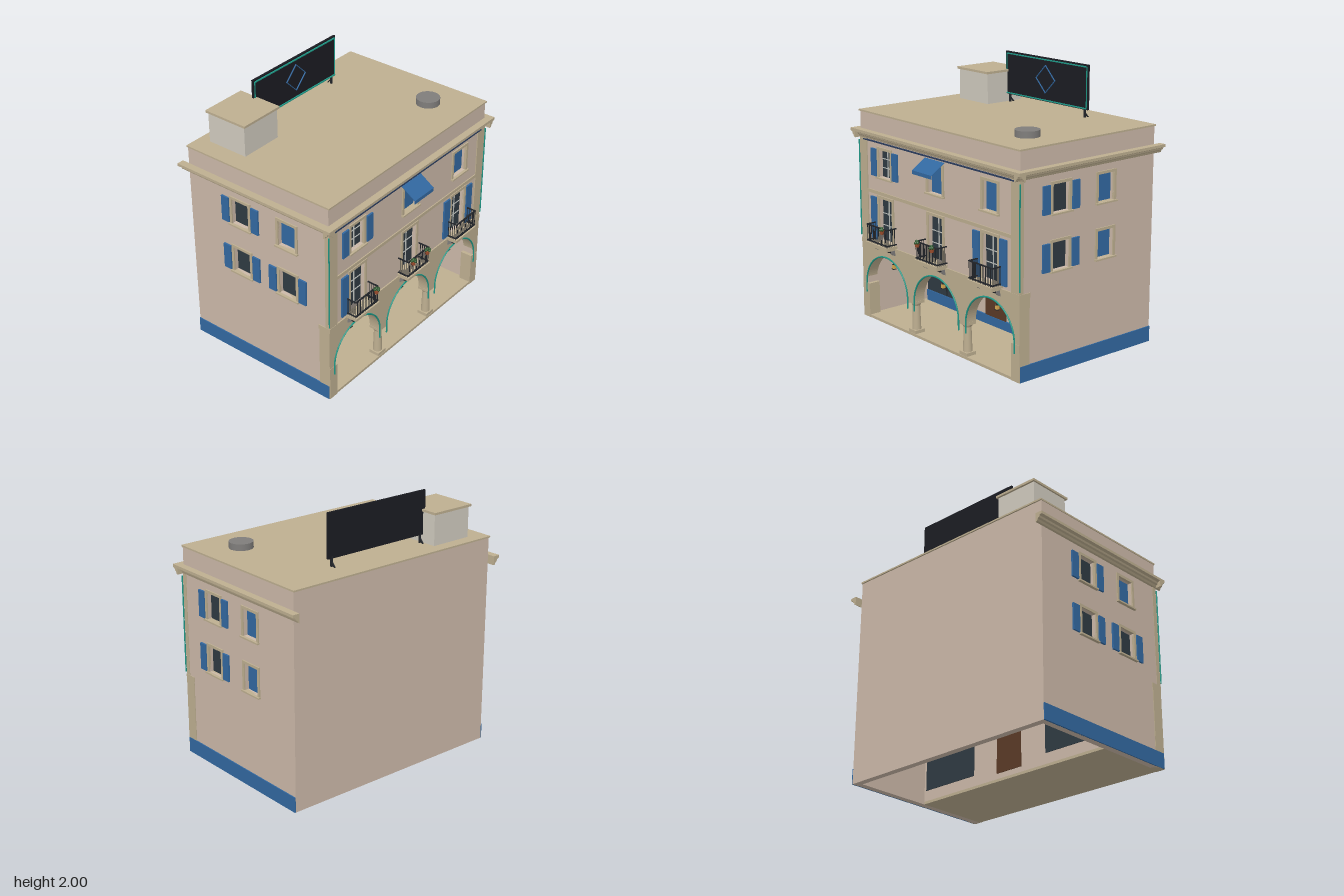
import * as THREE from 'three';

const mat = (color) => new THREE.MeshStandardMaterial({ color, roughness: 0.9 });
const M = {
  wall: mat(0xcbb8a8), tan: mat(0xbdae90), blue: mat(0x3268a0), glass: mat(0x2f3a42), bar: mat(0xb9bcb8),
  iron: mat(0x22252a), brown: mat(0x5a3a26), teal: mat(0x1f9a88), navy: mat(0x2b3c5c), gray: mat(0x7f7d7b),
  pale: mat(0xcfcabe), black: mat(0x1b1c22), gold: mat(0xd8a850), pot: mat(0xa5512f), leaf: mat(0x2f5a30),
};

function add(parent, name, geo, material, x = 0, y = 0, z = 0) {
  const m = new THREE.Mesh(geo, material);
  m.name = name;
  m.position.set(x, y, z);
  parent.add(m);
  return m;
}
// Box given by its limits on each axis
function box(parent, name, material, x0, x1, y0, y1, z0, z1) {
  return add(parent, name, new THREE.BoxGeometry(x1 - x0, y1 - y0, z1 - z0), material,
    (x0 + x1) / 2, (y0 + y1) / 2, (z0 + z1) / 2);
}
function cyl(parent, name, material, r0, r1, y0, y1, x, z, n = 12) {
  return add(parent, name, new THREE.CylinderGeometry(r1, r0, y1 - y0, n), material, x, (y0 + y1) / 2, z);
}
function group(parent, name, x = 0, y = 0, z = 0) {
  const g = new THREE.Group();
  g.name = name;
  g.position.set(x, y, z);
  parent.add(g);
  return g;
}
const polygon = (pts) => new THREE.Shape(pts.map(([x, y]) => new THREE.Vector2(x, y)));
const rect = (x0, x1, y0, y1) => polygon([[x0, y0], [x1, y0], [x1, y1], [x0, y1]]);
const extrude = (shape, depth) =>
  new THREE.ExtrudeGeometry(shape, { depth, bevelEnabled: false, curveSegments: 24 });

const T = 0.05; // wall thickness

// Window in wall space: outer wall surface is z = 0
function addWindow(parent, { u, w, y0, y1, closed, shutters = [], bars, sw = 0.065 }) {
  const g = group(parent, 'window', u), h = w / 2, f = 0.02;
  box(g, closed ? 'closedShutter' : 'glass', closed ? M.blue : M.glass, -h, h, y0, y1, -0.042, -0.03);
  for (const s of [-1, 1]) {
    const x = s * (h + f / 2);
    box(g, 'frameSide', M.tan, x - f / 2, x + f / 2, y0, y1, -0.01, 0.01);
  }
  box(g, 'frameTop', M.tan, -h - f, h + f, y1, y1 + f, -0.01, 0.01);
  box(g, 'sill', M.tan, -h - f - 0.005, h + f + 0.005, y0 - 0.012, y0, -0.03, 0.022);
  if (bars) {
    box(g, 'mullion', M.bar, -0.004, 0.004, y0, y1, -0.03, -0.024);
    for (const t of bars) {
      const y = y0 + t * (y1 - y0);
      box(g, 'glazingBar', M.bar, -h, h, y - 0.003, y + 0.003, -0.03, -0.025);
    }
  }
  for (const s of shutters) {
    const x = s * (h + f + 0.007 + sw / 2);
    box(g, 'shutter', M.blue, x - sw / 2, x + sw / 2, y0, y1, 0, 0.014);
  }
}

// Wall with cut window openings
function facade(parent, name, u0, u1, y0, y1, windows) {
  const g = group(parent, name), s = rect(u0, u1, y0, y1);
  for (const o of windows) s.holes.push(rect(o.u - o.w / 2, o.u + o.w / 2, o.y0, o.y1));
  add(g, 'wall', extrude(s, T), M.wall, 0, 0, -T);
  windows.forEach((o) => addWindow(g, o));
  return g;
}

function addPlant(parent, x, y, z) {
  const g = group(parent, 'flowerPot', x, y, z);
  cyl(g, 'pot', M.pot, 0.013, 0.02, -0.02, 0.012, 0, 0, 10);
  [[0, 0.024, 0], [0.014, 0.016, 0.006], [-0.013, 0.018, -0.004], [0.002, 0.014, 0.014]].forEach(([a, b, c]) =>
    add(g, 'leaves', new THREE.IcosahedronGeometry(0.013, 0), M.leaf, a, b, c));
}

function addBalcony(parent, x) {
  const g = group(parent, 'balcony', x, 0, 0.59);
  box(g, 'slab', M.tan, -0.13, 0.13, 0.63, 0.648, 0, 0.1);
  box(g, 'slabMoulding', M.tan, -0.12, 0.12, 0.615, 0.63, 0, 0.09);
  box(g, 'bracketBeam', M.iron, -0.12, 0.12, 0.606, 0.615, 0.05, 0.07);
  const bracket = extrude(polygon([[0, 0.565], [0.02, 0.575], [0.07, 0.615], [0, 0.615]]), 0.016);
  for (const s of [-1, 1])
    add(g, 'bracket', bracket, M.gray, s * 0.105 + 0.008, 0, 0).rotation.y = -Math.PI / 2;
  for (const y of [0.66, 0.782]) {
    box(g, 'frontRail', M.iron, -0.126, 0.126, y - 0.004, y + 0.004, 0.082, 0.092);
    for (const s of [-1, 1]) box(g, 'sideRail', M.iron, s * 0.122 - 0.004, s * 0.122 + 0.004, y - 0.004, y + 0.004, 0, 0.09);
  }
  for (let i = 0; i <= 14; i++) cyl(g, 'baluster', M.iron, 0.0028, 0.0028, 0.648, 0.782, -0.122 + i * 0.01743, 0.087, 6);
  for (const s of [-1, 1]) for (let i = 1; i < 5; i++)
    cyl(g, 'sideBaluster', M.iron, 0.0028, 0.0028, 0.648, 0.782, s * 0.122, i * 0.0175, 6);
}

export function createModel() {
  const root = new THREE.Group();
  root.name = 'arcadedTownhouse';

  // Main walls
  const up = { y0: 1.138, y1: 1.345 }, mid = { y0: 0.65, y1: 0.975, w: 0.16, bars: [0.36, 0.64], sw: 0.07 };
  const front = facade(root, 'frontWall', -0.855, 0.855, 0.6, 1.605, [
    { u: -0.603, w: 0.14, ...up, shutters: [-1, 1], bars: [0.33, 0.66] },
    { u: 0, w: 0.16, ...up, closed: true },
    { u: 0.6, w: 0.155, ...up, closed: true },
    { u: -0.6, ...mid, shutters: [-1] }, { u: 0, ...mid }, { u: 0.6, ...mid, shutters: [-1, 1] },
  ]);
  front.position.z = 0.59;
  const hi = { w: 0.15, y0: 1.138, y1: 1.338 }, lo = { w: 0.15, y0: 0.735, y1: 0.935 };
  const open = { shutters: [-1, 1] }, shut = { closed: true };
  const sideL = facade(root, 'leftWall', -0.59, 0.66, 0, 1.605, [
    { u: -0.23, ...hi, ...open }, { u: 0.19, ...hi, ...shut },
    { u: -0.23, ...lo, ...open }, { u: 0.19, ...lo, ...shut }]);
  sideL.position.x = 0.905;
  sideL.rotation.y = Math.PI / 2;
  const sideR = facade(root, 'rightWall', -0.66, 0.59, 0, 1.605, [
    { u: -0.19, ...hi, ...open }, { u: 0.23, ...hi, ...shut },
    { u: -0.19, ...lo, ...open }, { u: 0.23, ...lo, ...open }]);
  sideR.position.x = -0.905;
  sideR.rotation.y = -Math.PI / 2;
  box(root, 'backWall', M.wall, -0.855, 0.855, 0, 1.605, -0.66, -0.61);
  box(root, 'ceiling', M.wall, -0.855, 0.855, 0.575, 0.6, -0.61, 0.56);
  box(root, 'roof', M.tan, -0.91, 0.91, 1.603, 1.615, -0.67, 0.6);

  // Cornice along front and sides
  const profile = polygon([[0, 1.405], [0.012, 1.41], [0.018, 1.425], [0.03, 1.432], [0.034, 1.445], [0.045, 1.45],
    [0.054, 1.453], [0.054, 1.473], [0, 1.473]]);
  const cornice = (len) => extrude(profile, len).translate(0, 0, -len / 2);
  add(root, 'frontCornice', cornice(1.918), M.tan, 0, 0, 0.59).rotation.y = -Math.PI / 2;
  add(root, 'leftCornice', cornice(1.364), M.tan, 0.905, 0, -0.038);
  add(root, 'rightCornice', cornice(1.364), M.tan, -0.905, 0, -0.038).rotation.y = Math.PI;

  // Pilasters, string courses, painted base and light tubes
  for (const s of [-1, 1]) {
    box(root, 'pilaster', M.tan, s * 0.865 - 0.043, s * 0.865 + 0.043, 0.62, 1.41, 0.56, 0.598);
    box(root, 'paintedBase', M.blue, s * 0.907 - 0.006, s * 0.907 + 0.006, 0, 0.115, -0.66, 0.592);
    cyl(root, 'cornerTube', M.teal, 0.005, 0.005, 0.645, 1.385, s * 0.913, 0.6, 8);
  }
  box(root, 'stringCourse', M.tan, -0.822, 0.822, 1.0, 1.025, 0.58, 0.598);
  box(root, 'lowerStringCourse', M.tan, -0.91, 0.91, 0.59, 0.625, 0.5, 0.6);
  box(root, 'corniceTube', M.navy, -0.86, 0.86, 1.393, 1.402, 0.59, 0.602);

  // Arcade front with three arches
  const R = 0.26, S = 0.27, arcade = new THREE.Shape();
  arcade.moveTo(-0.91, 0).lineTo(-0.86, 0);
  for (const x of [-0.6, 0, 0.6]) {
    arcade.lineTo(x - R, S);
    arcade.absarc(x, S, R, Math.PI, 0, true);
  }
  arcade.lineTo(0.86, 0).lineTo(0.91, 0).lineTo(0.91, 0.6).lineTo(-0.91, 0.6);
  add(root, 'arcade', extrude(arcade, 0.09), M.tan, 0, 0, 0.507);
  for (const x of [-0.6, 0, 0.6]) {
    const pts = [[x - R, 0.2]];
    for (let i = 0; i <= 24; i++) pts.push([x - R * Math.cos(i * Math.PI / 24), S + R * Math.sin(i * Math.PI / 24)]);
    pts.push([x + R, 0.2]);
    const path = new THREE.CatmullRomCurve3(pts.map(([a, b]) => new THREE.Vector3(a, b, 0.6)));
    add(root, 'archTube', new THREE.TubeGeometry(path, 64, 0.006, 6), M.teal);
  }
  for (const s of [-1, 1]) {
    box(root, 'endPier', M.tan, s * 0.868 - 0.04, s * 0.868 + 0.04, 0, S, 0.505, 0.599);
    box(root, 'columnBase', M.tan, s * 0.3 - 0.042, s * 0.3 + 0.042, 0.018, 0.045, 0.508, 0.592);
    cyl(root, 'column', M.tan, 0.034, 0.028, 0.045, 0.235, s * 0.3, 0.55, 16);
    cyl(root, 'capital', M.tan, 0.03, 0.04, 0.23, 0.25, s * 0.3, 0.55, 16);
    box(root, 'abacus', M.tan, s * 0.3 - 0.042, s * 0.3 + 0.042, 0.25, S, 0.506, 0.594);
  }
  box(root, 'arcadeFloor', M.tan, -0.857, 0.857, 0, 0.02, 0, 0.595);

  // Shop wall inside the arcade
  box(root, 'shopWall', M.wall, -0.855, 0.855, 0.02, 0.575, 0.0, 0.03);
  for (const s of [-1, 1]) {
    const c = s * 0.588, g = group(root, 'shopWindow', c);
    box(g, 'shopGlass', M.glass, -0.245, 0.245, 0.1, 0.472, -0.005, 0.037);
    box(g, 'shopMullion', M.iron, -0.004, 0.004, 0.1, 0.472, 0.03, 0.042);
    box(g, 'shopTransom', M.iron, -0.245, 0.245, 0.39, 0.397, 0.03, 0.042);
    box(g, 'shopBase', M.blue, -0.243, 0.243, 0.02, 0.105, 0.03, 0.047);
  }
  box(root, 'centreBase', M.blue, -0.26, 0.26, 0.02, 0.09, 0.03, 0.044);
  box(root, 'door', M.brown, -0.115, 0.115, 0.06, 0.43, -0.006, 0.04);
  box(root, 'doorLintel', M.brown, -0.08, 0.08, 0.468, 0.478, 0.03, 0.06);
  for (const x of [-0.6, 0, 0.6]) {
    const g = group(root, 'lantern', x, 0, 0.53);
    cyl(g, 'rod', M.iron, 0.003, 0.003, 0.465, 0.535, 0, 0, 6);
    cyl(g, 'lanternCap', M.iron, 0.018, 0.006, 0.463, 0.475, 0, 0, 4);
    box(g, 'lanternGlass', M.gold, -0.011, 0.011, 0.432, 0.463, -0.011, 0.011);
    box(g, 'lanternFoot', M.iron, -0.014, 0.014, 0.427, 0.432, -0.014, 0.014);
  }

  // Balconies, flower pots and awning
  for (const x of [-0.6, 0, 0.6]) addBalcony(root, x);
  for (const x of [-0.515, -0.085, 0.085]) addPlant(root, x, 0.77, 0.695);
  const canopy = extrude(polygon([[0, 1.385], [0.115, 1.31], [0.115, 1.283], [0.111, 1.283], [0.111, 1.307], [0, 1.379]]), 0.22);
  add(root, 'awning', canopy, M.blue, 0.11, 0, 0.595).rotation.y = -Math.PI / 2;

  // Roof house and tank
  box(root, 'roofHouse', M.pale, -0.768, -0.432, 1.61, 1.845, -0.58, -0.25);
  box(root, 'roofHouseCap', M.tan, -0.78, -0.42, 1.845, 1.862, -0.595, -0.235);
  cyl(root, 'tank', M.gray, 0.088, 0.088, 1.612, 1.663, 0.62, 0.28, 32);

  // Roof sign panel
  const sign = group(root, 'signPanel', 0, 0, -0.455);
  box(sign, 'panel', M.black, -0.45, 0.447, 1.673, 2.0, -0.008, 0.008);
  for (const y of [1.683, 1.985]) box(sign, 'edgeTube', M.teal, -0.435, 0.435, y - 0.004, y + 0.004, 0.008, 0.018);
  for (const s of [-1, 1]) {
    box(sign, 'sideTube', M.teal, s * 0.437 - 0.002, s * 0.437 + 0.002, 1.683, 1.985, 0.008, 0.015);
    box(sign, 'post', M.iron, s * 0.41 - 0.007, s * 0.41 + 0.007, 1.61, 1.69, -0.008, 0.006);
    const strut = box(sign, 'strut', M.iron, s * 0.41 - 0.005, s * 0.41 + 0.005, -0.028, 0.028, -0.004, 0.004);
    strut.position.set(s * 0.41, 1.632, -0.018);
    strut.rotation.x = 0.7;
  }
  const diamond = rect(-0.075, 0.075, -0.075, 0.075);
  diamond.holes.push(rect(-0.07, 0.07, -0.07, 0.07));
  add(sign, 'diamondTrim', extrude(diamond, 0.008), M.blue, 0, 1.84, 0.008).rotation.z = Math.PI / 4;

  return root;
}
